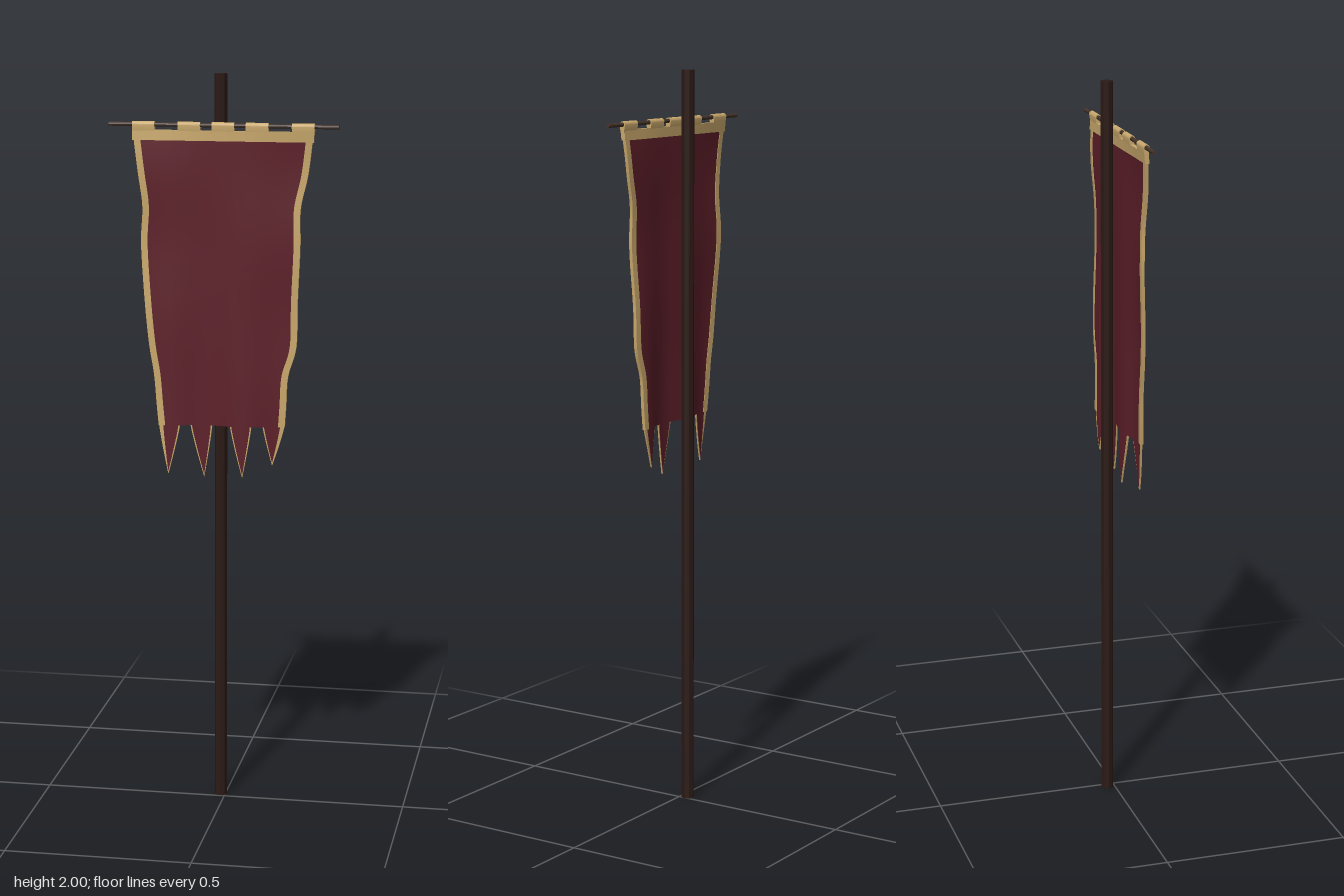
import * as THREE from 'three';
import { toCreasedNormals } from 'three/addons/utils/BufferGeometryUtils.js';

const material = (color, flatShading = false) =>
  new THREE.MeshStandardMaterial({ color, flatShading, side: THREE.DoubleSide });

// Depth of the hanging cloth: still at the top, folding more towards the hem
function foldZ(x, y) {
  const drop = THREE.MathUtils.clamp((1.85 - y) / 0.9, 0, 1);
  const sway = drop * (-0.045 * x + 0.008 * Math.cos((x + 0.15) * 31));
  const ripple = 0.005 * Math.sin((1.85 - y) * 15) * (-x / 0.22) * (1 - drop);
  return 0.015 + sway + ripple;
}

// Closed sheet lofted through rows of [left x, right x, y], bent along the folds
function sheet(rows, columns, half) {
  const all = [[...rows[0], 0], ...rows.map((r) => [...r, half]), [...rows[rows.length - 1], 0]];
  const ring = 2 * (columns + 1), position = [], index = [];
  for (const [left, right, y, t] of all) {
    for (let i = 0; i < ring; i++) {
      const front = i <= columns;
      const u = (front ? i : ring - 1 - i) / columns;
      const x = left + (right - left) * u;
      position.push(x, y, foldZ(x, y) + (front ? t : -t));
    }
  }
  for (let r = 0; r < all.length - 1; r++) {
    for (let i = 0; i < ring; i++) {
      const a = r * ring + i, b = r * ring + (i + 1) % ring;
      index.push(a, a + ring, b, b, a + ring, b + ring);
    }
  }
  const g = new THREE.BufferGeometry();
  g.setAttribute('position', new THREE.Float32BufferAttribute(position, 3));
  g.setIndex(index);
  return toCreasedNormals(g, 0.7);
}

// Side outline of the cloth: y, left x, right x
const outline = [
  [1.85, -0.242, 0.24], [1.74, -0.228, 0.226], [1.65, -0.217, 0.207],
  [1.55, -0.222, 0.207], [1.4, -0.212, 0.2], [1.28, -0.2, 0.197],
  [1.2, -0.187, 0.175], [1.12, -0.18, 0.17], [1.06, -0.174, 0.166],
];
const edge = (k) => new THREE.SplineCurve(outline.map((p) => new THREE.Vector2(p[k], p[0])));
const bodyRows = Array.from({ length: 41 }, (_, i) => {
  const l = edge(1).getPoint(i / 40), r = edge(2).getPoint(i / 40);
  return [l.x, r.x, l.y];
});

// Torn tails: left x, right x, tip x, tip y
const tails = [
  [-0.174, -0.116, -0.148, 0.926], [-0.09, -0.03, -0.053, 0.917],
  [0.018, 0.078, 0.053, 0.92], [0.106, 0.166, 0.132, 0.953],
];
function tailRows([left, right, tipX, tipY], insetL, insetR, lift) {
  return Array.from({ length: 11 }, (_, i) => {
    const t = i / 10, s = Math.pow(t, 1.15);
    const y = THREE.MathUtils.lerp(1.066, tipY + lift, t);
    return [
      THREE.MathUtils.lerp(left + insetL, tipX, s),
      THREE.MathUtils.lerp(right - insetR, tipX, s), y,
    ];
  });
}

export function createModel() {
  const model = new THREE.Group();
  const poleWood = material(0x2b1a15, true);
  const barWood = material(0x45342a, true);
  const red = material(0x5e1f29);
  const tan = material(0xc9a86c);
  const add = (name, geometry, mat, parent = model) => {
    const mesh = new THREE.Mesh(geometry, mat);
    mesh.name = name;
    parent.add(mesh);
    return mesh;
  };

  // Upright pole and the bar in front of it
  add('pole', new THREE.CylinderGeometry(0.017, 0.017, 2, 8), poleWood).position.set(-0.012, 1, -0.02);
  const bar = add('crossbar', new THREE.CylinderGeometry(0.0055, 0.0055, 0.614, 8), barWood);
  bar.rotation.z = Math.PI / 2;
  bar.position.set(0, 1.867, 0.015);

  // Cloth body with tan side borders
  const banner = new THREE.Group();
  banner.name = 'banner';
  model.add(banner);
  add('cloth', sheet(bodyRows.map(([l, r, y]) => [l + 0.01, r - 0.01, y]), 28, 0.003), red, banner);
  add('rightBorder', sheet(bodyRows.map(([l, , y]) => [l, l + 0.018, y]), 2, 0.0045), tan, banner);
  add('leftBorder', sheet(bodyRows.map(([, r, y]) => [r - 0.018, r, y]), 2, 0.0045), tan, banner);

  // Top band
  const bandRows = [1.853, 1.847, 1.833, 1.826].map((y, i) => [-0.243, 0.241, y, i]);
  add('topBand', sheet(bandRows.map(([l, r, y]) => [l, r, y]), 28, 0.006), tan, banner);

  // Ragged tails, each over a slightly larger tan edging
  tails.forEach((tail, i) => {
    const insetL = i === 0 ? 0.012 : 0.004, insetR = i === 3 ? 0.012 : 0.004;
    add('tailEdging', sheet(tailRows(tail, 0, 0, 0), 4, 0.002), tan, banner);
    add('tail', sheet(tailRows(tail, insetL, insetR, 0.008), 4, 0.003), red, banner);
  });

  // Loops wrapping the bar and running down to the band
  const profile = new THREE.Shape();
  profile.moveTo(-0.005, -0.022);
  profile.lineTo(0.005, -0.022);
  profile.lineTo(0.0085, 0);
  profile.absarc(0, 0, 0.0085, 0, Math.PI, false);
  profile.closePath();
  profile.holes.push(new THREE.Path().absarc(0, 0, 0.006, 0, Math.PI * 2, true));
  const loop = new THREE.ExtrudeGeometry(profile, { depth: 0.06, bevelEnabled: false, curveSegments: 8 });
  loop.translate(0, 0, -0.03).rotateY(Math.PI / 2);
  const loopGeometry = toCreasedNormals(loop, 0.7);
  for (const x of [-0.213, -0.091, 0, 0.091, 0.213]) {
    add('hangingLoop', loopGeometry, tan, banner).position.set(x, 1.867, 0.015);
  }
  return model;
}
